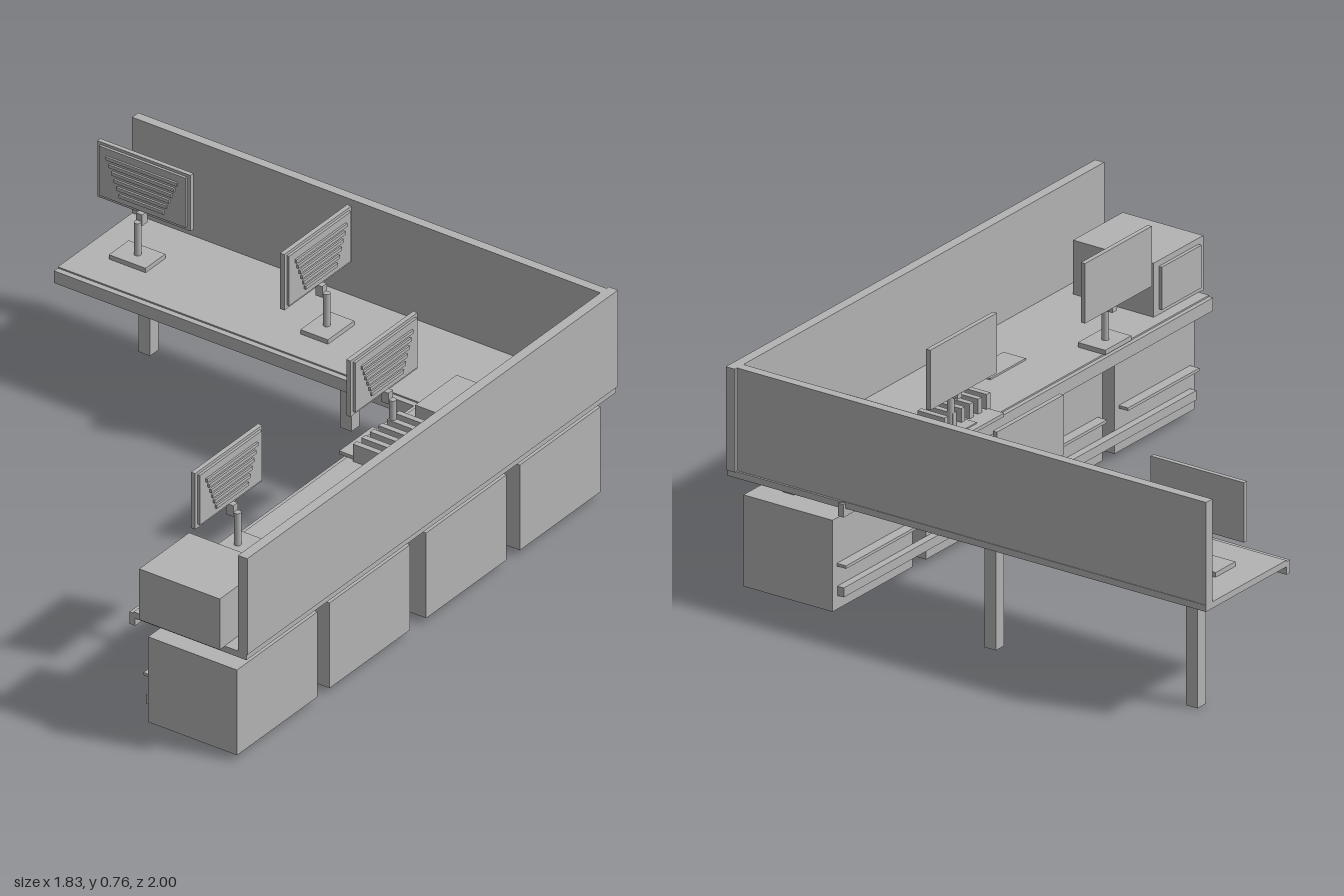
import * as THREE from 'three';

const grey = new THREE.MeshStandardMaterial({ color: 0xb3b3b3 });
grey.name = 'office grey';

// Box given by its minimum and maximum on each axis
function box(parent, name, x0, x1, y0, y1, z0, z1) {
  const mesh = new THREE.Mesh(new THREE.BoxGeometry(x1 - x0, y1 - y0, z1 - z0), grey);
  mesh.name = name;
  mesh.position.set((x0 + x1) / 2, (y0 + y1) / 2, (z0 + z1) / 2);
  parent.add(mesh);
  return mesh;
}

// Monitor on a stand: pole at the local origin, louvred back towards +z
function monitor(parent, x, z, turn) {
  const g = new THREE.Group();
  g.name = 'monitor';
  box(g, 'screenPanel', -0.178, 0.178, 0.557, 0.76, -0.05, -0.034);
  box(g, 'screenBackCasing', -0.165, 0.165, 0.57, 0.75, -0.034, -0.025);
  for (let i = 0; i < 6; i++) {
    const half = 0.085 + i * 0.01, y = 0.592 + i * 0.024;
    box(g, 'ventSlat', -half, half, y, y + 0.012, -0.025, -0.018);
  }
  const pole = new THREE.Mesh(new THREE.CylinderGeometry(0.012, 0.012, 0.13, 16), grey);
  pole.name = 'standPole';
  pole.position.y = 0.48;
  g.add(pole);
  box(g, 'standArm', -0.012, 0.012, 0.53, 0.57, -0.035, -0.008);
  box(g, 'standBase', -0.07, 0.07, 0.412, 0.428, -0.05, 0.055);
  g.position.set(x, 0, z);
  g.rotation.y = turn;
  parent.add(g);
}

export function createModel() {
  const model = new THREE.Group();
  model.name = 'cornerWorkstation';

  // L-shaped worktop with lower edge strips
  box(model, 'backWorktop', -0.91, 0.48, 0.39, 0.412, -0.99, -0.56);
  box(model, 'sideWorktop', 0.48, 0.912, 0.39, 0.412, -0.995, 0.97);
  box(model, 'backEdgeStrip', -0.91, 0.885, 0.363, 0.407, -0.56, -0.54);
  box(model, 'sideEdgeStrip', 0.465, 0.486, 0.363, 0.407, -1, 0.97);

  // Privacy screens
  box(model, 'backScreen', -0.91, 0.88, 0.41, 0.76, -0.988, -0.955);
  box(model, 'sideScreen', 0.88, 0.915, 0.41, 0.76, -1, 0.97);

  // Legs
  for (const [x, z] of [[-0.783, -0.865], [-0.013, -0.865], [0.757, -0.865],
    [0.585, -0.855], [0.585, -0.01], [0.585, 0.85]]) {
    const r = x === 0.585 ? 0.018 : 0.022;
    box(model, 'leg', x - r, x + r, 0, 0.392, z - 0.022, z + 0.022);
  }

  // Cabinets with pull bars
  for (const z of [0.741, 0.249, -0.264, -0.762]) {
    box(model, 'cabinet', 0.525, 0.865, 0.02, 0.33, z - 0.214, z + 0.214);
    box(model, 'cabinetHandle', 0.49, 0.526, 0.166, 0.176, z - 0.19, z + 0.19);
  }
  box(model, 'lowerRail', 0.5, 0.526, 0.066, 0.098, -0.95, 0.93);

  // Monitors
  monitor(model, -0.738, -0.745, 0);
  monitor(model, -0.015, -0.745, Math.PI / 2);
  monitor(model, 0.522, -0.35, Math.PI / 2);
  monitor(model, 0.522, 0.475, Math.PI / 2);

  // Printer with a side panel, and a flat machine in the corner
  box(model, 'printer', 0.52, 0.828, 0.41, 0.595, 0.73, 0.995);
  box(model, 'printerPanel', 0.508, 0.52, 0.43, 0.575, 0.757, 0.968);
  box(model, 'cornerBox', 0.54, 0.852, 0.412, 0.485, -0.663, -0.443);

  // File rack beside the third monitor
  box(model, 'rackTray', 0.45, 0.64, 0.412, 0.424, -0.342, -0.165);
  for (let i = 0; i < 6; i++) {
    const z = -0.4 + i * 0.045;
    box(model, 'rackDivider', 0.51, 0.612, 0.412, 0.475, z, z + 0.02);
  }

  // Paper pad
  box(model, 'paperPad', 0.65, 0.735, 0.412, 0.418, 0.04, 0.23);

  return model;
}
